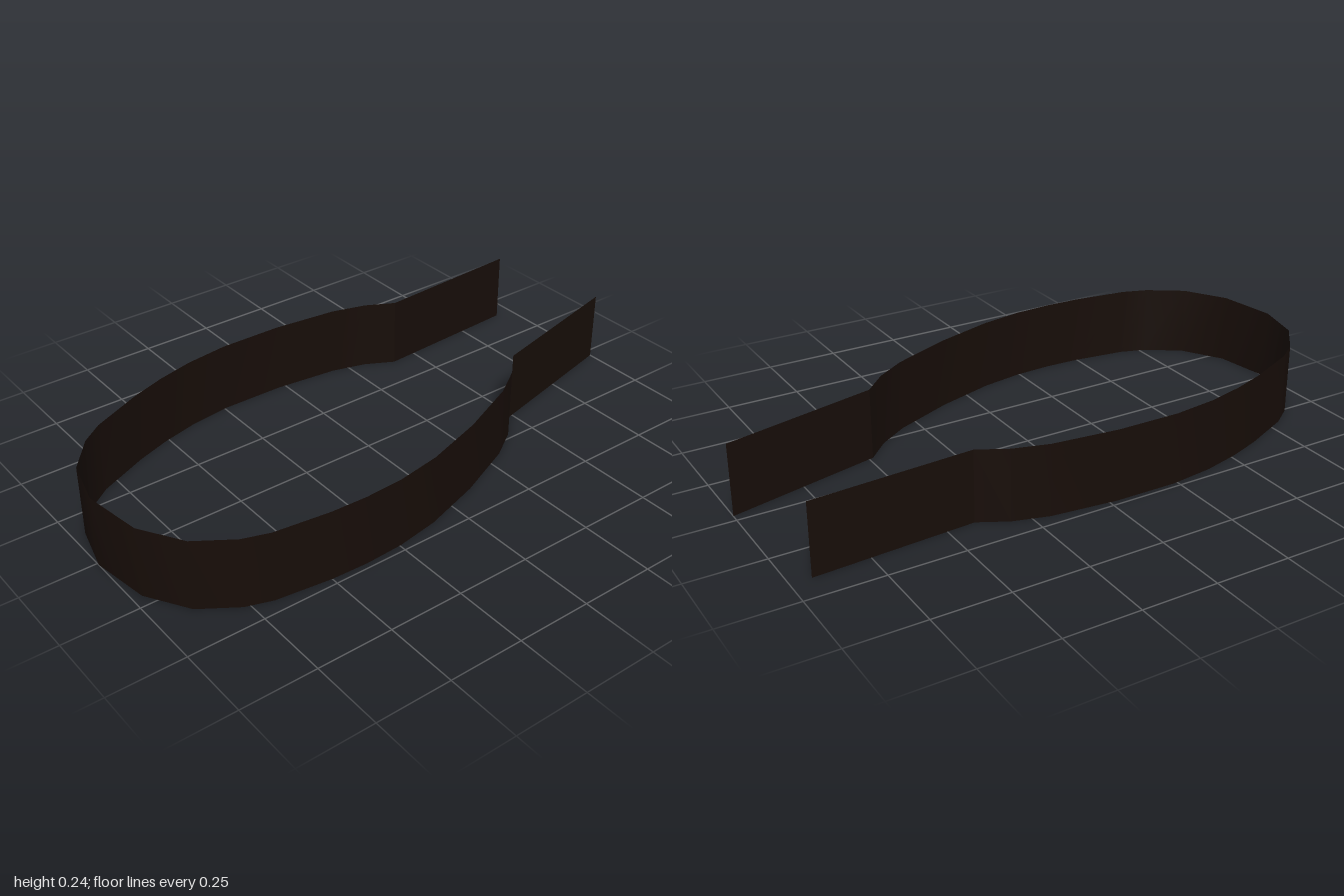
import * as THREE from 'three';

const HEIGHT = 0.24;

// Upright ribbon of zero thickness following a plan path of [x, z] points
function ribbon(name, path, material) {
  const positions = [];
  const index = [];
  path.forEach(([x, z], i) => {
    positions.push(x, 0, z, x, HEIGHT, z);
    if (i > 0) {
      const a = 2 * (i - 1);
      index.push(a, a + 2, a + 1, a + 1, a + 2, a + 3);
    }
  });
  const geometry = new THREE.BufferGeometry();
  geometry.setAttribute('position', new THREE.Float32BufferAttribute(positions, 3));
  geometry.setIndex(index);
  geometry.computeVertexNormals();
  const mesh = new THREE.Mesh(geometry, material);
  mesh.name = name;
  return mesh;
}

export function createModel() {
  const material = new THREE.MeshStandardMaterial({ color: 0x170d08, side: THREE.DoubleSide });

  // The symmetric band sits slightly turned about the vertical
  const band = new THREE.Group();
  band.name = 'openBand';
  band.position.x = -0.042;
  band.rotation.y = 0.15;

  // Half of the loop, from the neck round to the front
  const half = [
    [0.266, -0.451], [0.33, -0.365], [0.381, -0.255], [0.438, -0.04], [0.471, 0.17],
    [0.474, 0.32], [0.461, 0.45], [0.438, 0.57], [0.387, 0.75], [0.345, 0.83],
    [0.25, 0.933], [0.1, 0.996],
  ];
  const mirror = ([x, z]) => [-x, z];
  const loop = [...half.map(mirror), ...half.slice().reverse()];
  band.add(ribbon('loop', loop, material));

  // Straight arms running back from the neck, slightly converging
  const neck = half[0];
  const tip = [0.219, -0.978];
  band.add(ribbon('leftArm', [neck, tip], material));
  band.add(ribbon('rightArm', [mirror(tip), mirror(neck)], material));

  const group = new THREE.Group();
  group.name = 'model';
  group.add(band);
  return group;
}
